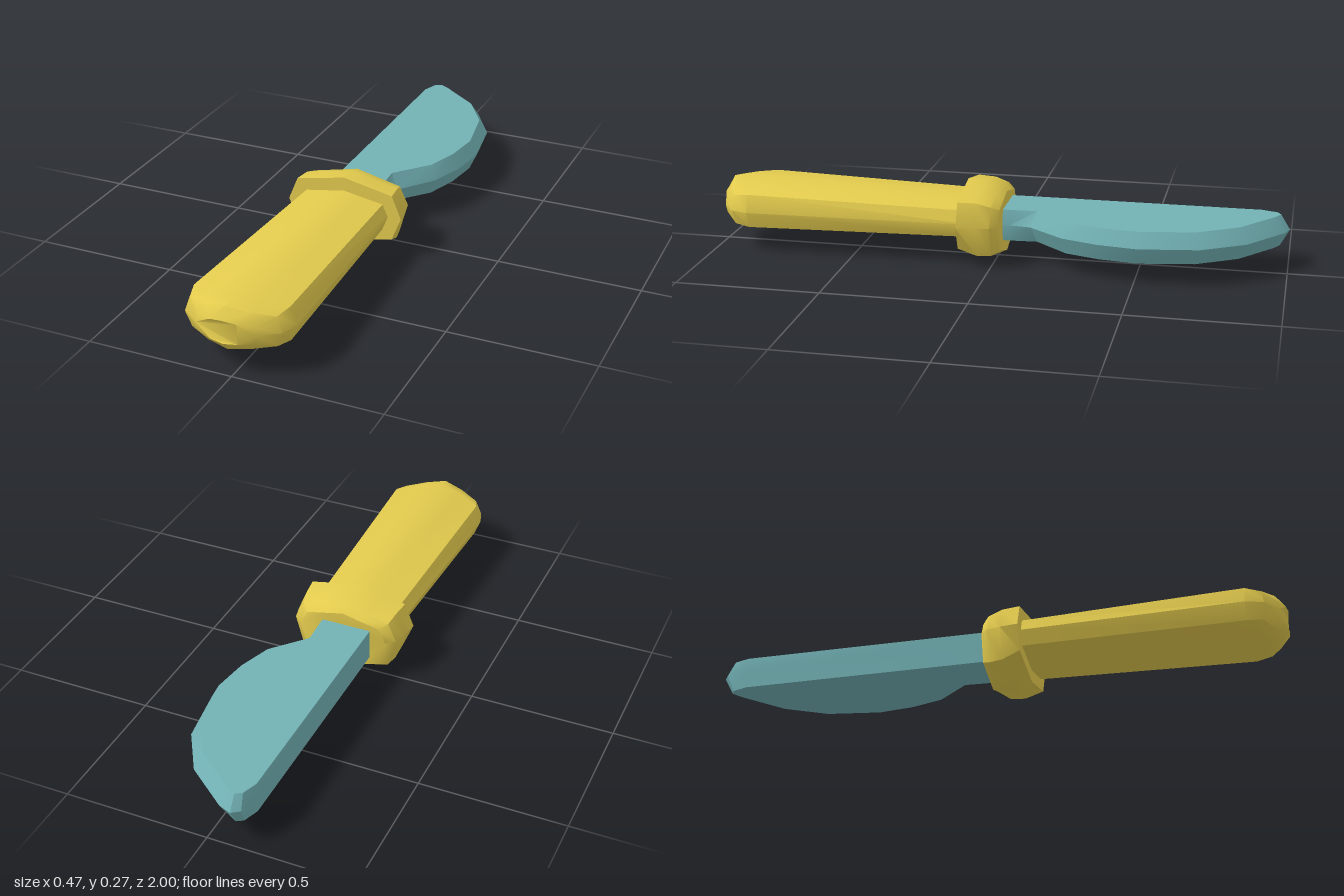
import * as THREE from 'three';
import { toCreasedNormals } from 'three/addons/utils/BufferGeometryUtils.js';

const CX = -0.025; // handle and guard axis

// Skin a stack of equal-length rings and close both ends; flat() projects a ring point for the caps.
function loft(rings, flat, crease) {
  const n = rings[0].length, index = [];
  for (let i = 0; i < rings.length - 1; i++) {
    for (let j = 0; j < n; j++) {
      const a = i * n + j, b = i * n + (j + 1) % n;
      index.push(a, b, b + n, a, b + n, a + n);
    }
  }
  const cap = (ring, base, flip) => {
    for (const [a, b, c] of THREE.ShapeUtils.triangulateShape(ring.map(flat), [])) {
      if (flip) index.push(base + a, base + c, base + b);
      else index.push(base + a, base + b, base + c);
    }
  };
  cap(rings[0], 0, true);
  cap(rings[rings.length - 1], (rings.length - 1) * n, false);
  const g = new THREE.BufferGeometry();
  g.setAttribute('position', new THREE.Float32BufferAttribute(rings.flat().flatMap((p) => [p.x, p.y, p.z]), 3));
  g.setIndex(index);
  return toCreasedNormals(g, crease);
}

// Ridged oval section: ridges at top and bottom, shoulders at a fraction of the half width.
function section({ w, top, shTop, mid = 0.15, shBot, bot, shoulder, z }) {
  const upper = [0, 0.5, 1].map((t) => [t * shoulder, THREE.MathUtils.lerp(top, shTop, t)]);
  const lower = [0, 0.5, 1].map((t) => [t * shoulder, THREE.MathUtils.lerp(bot, shBot, t)]);
  const mirror = (list) => list.map(([x, y]) => [-x, y]);
  const pts = [
    [1, mid], ...upper.slice().reverse(), ...mirror(upper.slice(1)),
    [-1, mid], ...mirror(lower.slice().reverse()), ...lower.slice(1),
  ];
  // z may be [at the centre, halfway, at the shoulder, at the side]
  const depth = (r) => {
    if (!Array.isArray(z)) return z;
    if (r < 0.1) return z[0];
    if (r < 0.6) return z[1];
    return r < 0.99 ? z[2] : z[3];
  };
  return pts.map(([x, y]) => new THREE.Vector3(CX + x * w, y, depth(Math.abs(x))));
}

function makeHandle() {
  const rings = [
    { w: 0.16, top: 0.217, shTop: 0.193, shBot: 0.1, bot: 0.072, z: 0.06 },
    { w: 0.187, top: 0.24, shTop: 0.21, shBot: 0.092, bot: 0.061, z: [0.93, 0.915, 0.87, 0.87] },
    { w: 0.166, top: 0.23, shTop: 0.2, shBot: 0.097, bot: 0.08, z: [0.975, 0.96, 0.925, 0.93] },
    { w: 0.105, top: 0.19, shTop: 0.178, shBot: 0.12, bot: 0.11, z: [0.998, 0.993, 0.975, 0.975] },
  ].map((r) => section({ ...r, shoulder: 0.88 }));
  return loft(rings, (p) => new THREE.Vector2(p.x, p.y), 0.75);
}

function makeGuard() {
  const rings = [
    { w: 0.16, top: 0.23, shTop: 0.2, shBot: 0.055, bot: 0.014, z: -0.025 },
    { w: 0.19, top: 0.252, shTop: 0.215, shBot: 0.042, bot: 0.002, z: 0.0 },
    { w: 0.202, top: 0.266, shTop: 0.23, shBot: 0.043, bot: 0.006, z: 0.05 },
    { w: 0.21, top: 0.268, shTop: 0.232, shBot: 0.067, bot: 0.028, z: 0.113 },
  ].map((r) => section({ ...r, shoulder: 0.84 }));
  return loft(rings, (p) => new THREE.Vector2(p.x, p.y), 0.75);
}

// Blade: [outer x, z, inner x, z] around the outline, outer at mid height.
function makeBlade() {
  const outline = [
    [0.062, 0.03, 0.05, 0.03], [0.062, -0.05, 0.05, -0.05], [0.072, -0.125, 0.045, -0.145],
    [0.17, -0.25, 0.148, -0.262], [0.212, -0.375, 0.187, -0.38], [0.232, -0.51, 0.205, -0.51],
    [0.2, -0.715, 0.172, -0.7], [0.11, -0.865, 0.088, -0.838], [-0.04, -0.983, -0.05, -0.948],
    [-0.085, -1.0, -0.085, -0.968], [-0.113, -0.98, -0.108, -0.955], [-0.127, -0.9, -0.127, -0.9],
    [-0.127, 0.03, -0.127, 0.03],
  ];
  const ring = (y, k) => outline.map((o) => new THREE.Vector3(o[k], y, o[k + 1]));
  return loft([ring(0.074, 2), ring(0.133, 0), ring(0.185, 2)], (p) => new THREE.Vector2(p.x, -p.z), 0.6);
}

export function createModel() {
  const model = new THREE.Group();
  model.name = 'knife';
  const yellow = new THREE.MeshStandardMaterial({ color: 0xe2ca4d });
  const teal = new THREE.MeshStandardMaterial({ color: 0x72b1b4 });
  const add = (name, geometry, material) => {
    const mesh = new THREE.Mesh(geometry, material);
    mesh.name = name;
    model.add(mesh);
  };
  add('handle', makeHandle(), yellow);
  add('guard', makeGuard(), yellow);
  add('blade', makeBlade(), teal);
  return model;
}
